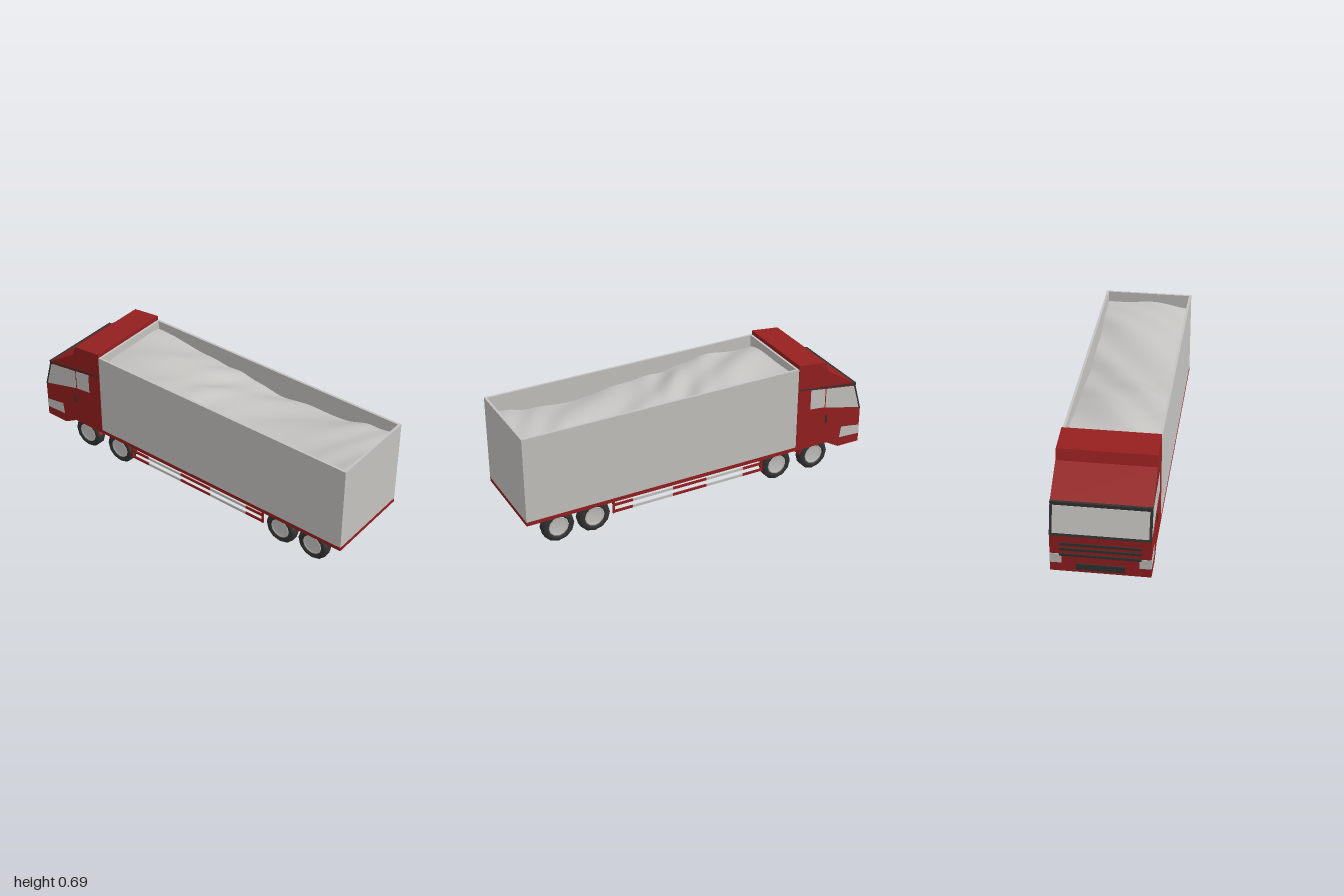
import * as THREE from 'three';

const mat = (name, color) => new THREE.MeshStandardMaterial({ name, color });

export function createModel() {
  const truck = new THREE.Group();
  truck.name = 'truck';
  const red = mat('red paint', 0x961f1f);
  const grey = mat('light grey', 0xc5c3c0);
  const dark = mat('dark rubber', 0x333333);
  const W = 0.248; // half width of the body

  const add = (name, geometry, material, x = 0, y = 0, z = 0) => {
    const mesh = new THREE.Mesh(geometry, material);
    mesh.name = name;
    mesh.position.set(x, y, z);
    truck.add(mesh);
    return mesh;
  };
  // box given by its limits
  const box = (name, material, x0, x1, y0, y1, z0, z1) =>
    add(name, new THREE.BoxGeometry(x1 - x0, y1 - y0, z1 - z0), material,
      (x0 + x1) / 2, (y0 + y1) / 2, (z0 + z1) / 2);
  // side outline extruded across z
  const slab = (name, material, points, z0, z1) => {
    const shape = new THREE.Shape(points.map(([x, y]) => new THREE.Vector2(x, y)));
    const geometry = new THREE.ExtrudeGeometry(shape, { depth: z1 - z0, bevelEnabled: false });
    return add(name, geometry, material, 0, 0, z0);
  };
  // thin painted plate on both cab sides
  const sidePlates = (name, material, points, t = 0.0006) => {
    slab(name + 'Left', material, points, W - 0.001, W + t);
    slab(name + 'Right', material, points, -W - t, -W + 0.001);
  };

  // cab with roof deflector
  slab('cab', red, [
    [-0.993, 0.123], [-0.86, 0.123], [-0.78, 0.168], [-0.584, 0.168], [-0.584, 0.686],
    [-0.75, 0.668], [-0.77, 0.613], [-0.947, 0.495], [-0.993, 0.33],
  ], -W, W);

  // cab sides
  sidePlates('sideWindow', grey, [
    [-0.983, 0.337], [-0.763, 0.393], [-0.763, 0.506], [-0.946, 0.48]]);
  sidePlates('rearWindow', grey, [
    [-0.757, 0.395], [-0.665, 0.405], [-0.665, 0.521], [-0.757, 0.507]]);
  sidePlates('roofTrim', dark, [
    [-0.948, 0.486], [-0.584, 0.536], [-0.584, 0.543], [-0.948, 0.497]]);
  sidePlates('pillar', dark, [
    [-0.995, 0.33], [-0.986, 0.33], [-0.941, 0.487], [-0.949, 0.495]]);
  sidePlates('headlightSide', grey, [
    [-0.993, 0.172], [-0.865, 0.178], [-0.875, 0.243], [-0.993, 0.225]]);
  sidePlates('doorHandle', dark, [
    [-0.775, 0.297], [-0.765, 0.297], [-0.765, 0.345], [-0.775, 0.345]], 0.004);

  // windscreen: dark frame with glass on top, leaning back
  slab('windscreenFrame', dark, [
    [-0.995, 0.33], [-0.986, 0.33], [-0.94, 0.497], [-0.949, 0.497]], -W, W);
  slab('windscreen', grey, [
    [-0.9945, 0.345], [-0.986, 0.345], [-0.946, 0.48], [-0.9562, 0.48]], -0.235, 0.235);
  box('visor', dark, -0.955, -0.938, 0.483, 0.499, -W, W);

  // front grille, headlights and bumper intake
  for (const y of [0.285, 0.255, 0.222]) box('grilleSlat', dark, -0.998, -0.992, y - 0.007, y + 0.007, -0.2, 0.2);
  box('bumperIntake', dark, -1, -0.992, 0.14, 0.175, -0.12, 0.12);
  for (const s of [-1, 1]) {
    const z = s * (W - 0.029);
    box('headlight', grey, -0.995, -0.992, 0.172, 0.225, z - 0.029, z + 0.029);
  }

  // trailer floor and walls
  box('trailerFloor', red, -0.584, 1, 0.168, 0.19, -W, W);
  const top = 0.665, wall = 0.013, inner = W - wall;
  for (const s of [-1, 1]) {
    const z = s * (W - wall / 2);
    box('sideWall', grey, -0.582, 1, 0.19, top, z - wall / 2, z + wall / 2);
  }
  box('frontWall', grey, -0.582, -0.582 + wall, 0.19, top, -inner, inner);
  box('rearWall', grey, 1 - wall, 1, 0.19, top, -inner, inner);

  // uneven load: high towards the cab, hollow towards the rear, softened diagonal ridges
  const load = new THREE.PlaneGeometry(1.558, 2 * inner, 64, 20).rotateX(-Math.PI / 2).translate(0.208, 0, 0);
  const p = load.attributes.position;
  for (let i = 0; i < p.count; i++) {
    const x = p.getX(i), z = p.getZ(i);
    const sway = 0.035 * Math.cos((x + 0.42 - 0.3 * z) * 3.8);
    const crown = 0.03 * Math.cos(z * 6.5);
    const ridges = 0.009 * Math.sin(11 * x + 15 * z + 2 * Math.sin(5 * z + 3 * x))
      + 0.004 * Math.sin(25 * x + 21 * z + 2 * Math.sin(7 * x));
    p.setY(i, 0.57 + sway + crown + ridges);
  }
  load.computeVertexNormals();
  add('load', load, grey);

  // wheels: tyre and rimmed hub turned about the z axis
  const turned = (points, sides) => new THREE.LatheGeometry(
    points.map(([r, y]) => new THREE.Vector2(r, y)), sides).rotateX(Math.PI / 2);
  const tyre = turned([
    [0.053, -0.021], [0.06, -0.028], [0.077, -0.029], [0.089, -0.018],
    [0.089, 0.018], [0.077, 0.029], [0.06, 0.028], [0.053, 0.021],
  ], 12);
  const hub = turned([
    [0, -0.019], [0.044, -0.019], [0.047, -0.024], [0.056, -0.024],
    [0.056, 0.024], [0.047, 0.024], [0.044, 0.019], [0, 0.019],
  ], 24);
  for (const x of [-0.724, -0.487, 0.611, 0.813]) {
    for (const z of [-0.187, 0.193]) {
      add('tyre', tyre, dark, x, 0.089, z);
      add('hub', hub, grey, x, 0.089, z);
    }
  }

  // mud flaps behind the front wheels
  for (const z of [-0.187, 0.193]) {
    slab('mudFlap', red, [
      [-0.662, 0.17], [-0.63, 0.119], [-0.622, 0.119], [-0.648, 0.17]], z - 0.033, z + 0.033);
  }

  // side guards: three banded rails between end posts
  const bands = [-0.39, -0.27, -0.045, 0.157, 0.393, 0.505];
  for (const z of [-0.212, 0.222]) {
    for (const y of [0.162, 0.125, 0.086]) {
      for (let i = 0; i < 5; i++) {
        box('guardRail', i % 2 ? grey : red, bands[i], bands[i + 1], y - 0.007, y + 0.007, z - 0.003, z + 0.003);
      }
    }
    for (const x of [-0.388, 0.503]) box('guardPost', red, x - 0.006, x + 0.006, 0.077, 0.17, z - 0.0035, z + 0.0035);
  }

  return truck;
}
